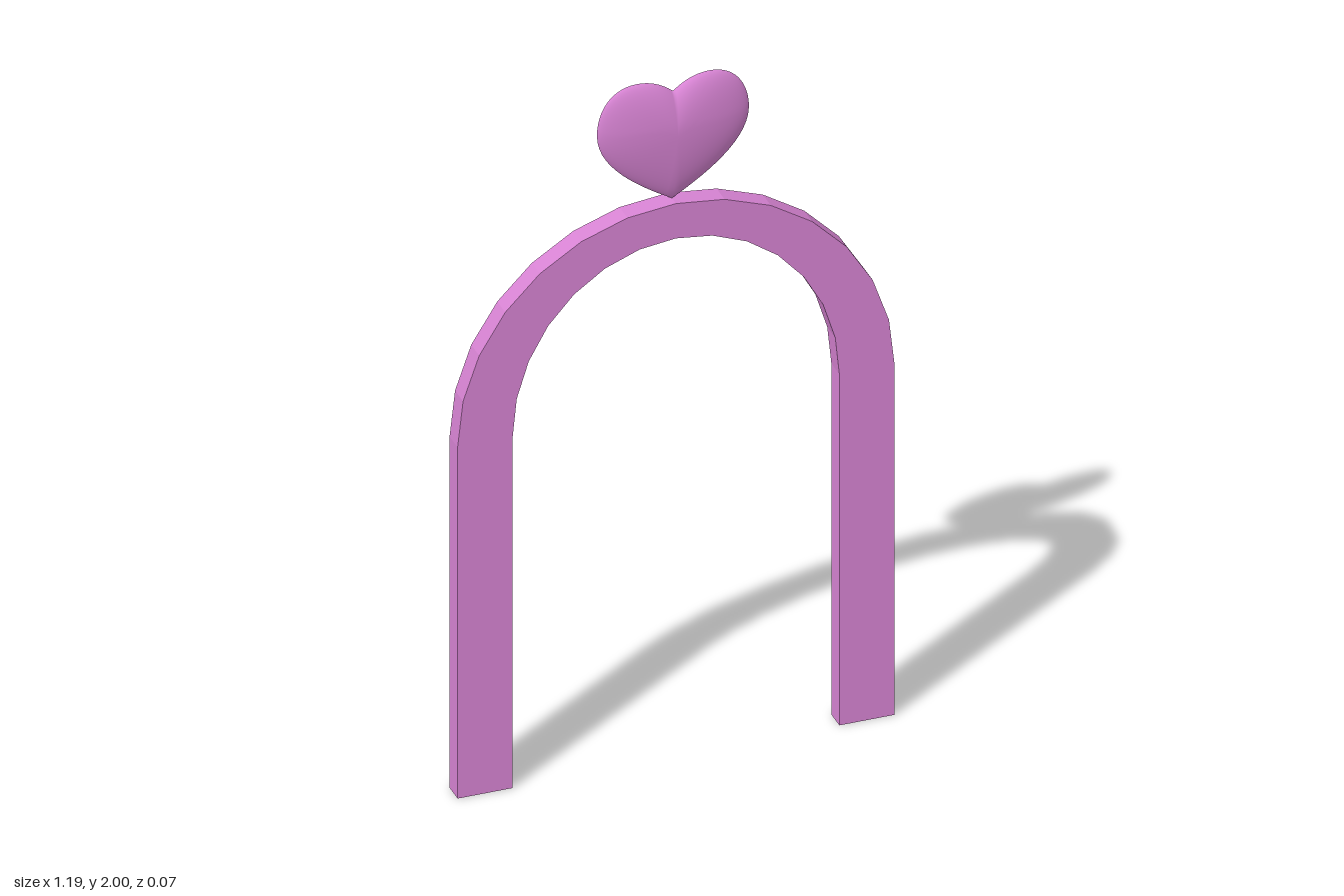
import * as THREE from 'three';

const material = new THREE.MeshStandardMaterial({ color: 0xd884d4, side: THREE.DoubleSide });

// Flat-sided arch: straight legs joined by a faceted half ring
function buildArch() {
  const spring = 1.04, steps = 14;
  const arc = (a, b) => Array.from({ length: steps + 1 }, (_, i) => {
    const t = (i / steps) * Math.PI;
    return new THREE.Vector2(a * Math.cos(t), spring + b * Math.sin(t));
  });
  const outline = [
    new THREE.Vector2(0.595, 0), ...arc(0.595, 0.598), new THREE.Vector2(-0.595, 0),
    new THREE.Vector2(-0.445, 0), ...arc(0.445, 0.495).reverse(), new THREE.Vector2(0.445, 0),
  ];
  const geometry = new THREE.ExtrudeGeometry(new THREE.Shape(outline), { depth: 0.058, bevelEnabled: false });
  geometry.translate(0, 0, -0.036);
  const mesh = new THREE.Mesh(geometry, material);
  mesh.name = 'arch';
  return mesh;
}

// Closed heart outline, counter-clockwise from the tip
function heartOutline() {
  const half = new THREE.Path();
  half.moveTo(0, 1.637);
  half.bezierCurveTo(0.09, 1.69, 0.207, 1.77, 0.207, 1.87);
  half.bezierCurveTo(0.207, 1.945, 0.165, 2.0, 0.1, 2.0);
  half.bezierCurveTo(0.06, 2.0, 0.03, 1.985, 0, 1.96);
  const right = half.getPoints(14);
  const left = right.slice(1, -1).reverse().map((p) => new THREE.Vector2(-p.x, p.y));
  return [...right, ...left];
}

// Concentric rings from the heart's middle out to its rim, raised by depth(s)
function heartSurface(depth, front) {
  const outline = heartOutline(), n = outline.length, rings = 14, midY = 1.84;
  const rimZ = (y) => -0.01 * Math.max(0, (1.87 - y) / 0.233);
  const positions = [0, midY, depth(0) + rimZ(midY)], index = [];
  const tri = (a, b, c) => index.push(...(front ? [a, b, c] : [a, c, b]));
  for (let r = 1; r <= rings; r++) {
    const s = Math.sin((r / rings) * Math.PI / 2);
    for (const p of outline) {
      const y = midY + (p.y - midY) * s;
      positions.push(p.x * s, y, depth(s) + rimZ(y));
    }
    for (let i = 0; i < n; i++) {
      const j = (i + 1) % n, o = 1 + (r - 1) * n;
      if (r === 1) tri(0, o + i, o + j);
      else {
        tri(o - n + i, o + i, o + j);
        tri(o - n + i, o + j, o - n + j);
      }
    }
  }
  const geometry = new THREE.BufferGeometry();
  geometry.setAttribute('position', new THREE.Float32BufferAttribute(positions, 3));
  geometry.setIndex(index);
  geometry.computeVertexNormals();
  return geometry;
}

// Heart ornament: domed front, almost flat back
function buildHeart() {
  const heart = new THREE.Group();
  heart.name = 'heart';
  const front = new THREE.Mesh(heartSurface((s) => 0.037 * Math.pow(Math.max(0, 1 - s * s), 0.6), true), material);
  front.name = 'heartFront';
  const back = new THREE.Mesh(heartSurface(() => 0, false), material);
  back.name = 'heartBack';
  heart.add(front, back);
  return heart;
}

export function createModel() {
  const model = new THREE.Group();
  model.name = 'heartArch';
  model.add(buildArch(), buildHeart());
  return model;
}
